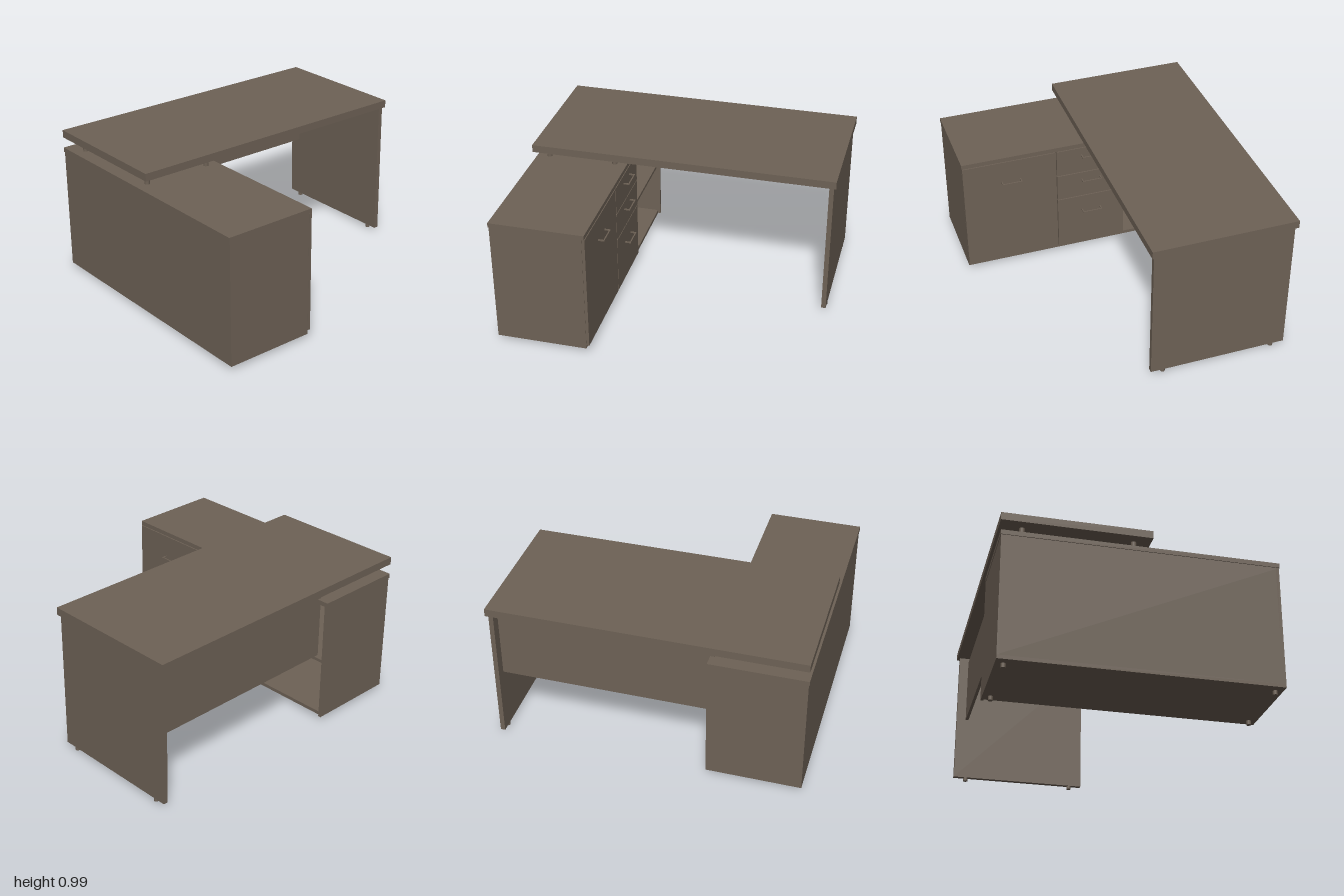
import * as THREE from 'three';

const wood = new THREE.MeshStandardMaterial({ color: 0x6e6256 });
wood.name = 'brown laminate';

// Box given by its extents on each axis
function panel(parent, name, [x0, x1], [y0, y1], [z0, z1]) {
  const mesh = new THREE.Mesh(new THREE.BoxGeometry(x1 - x0, y1 - y0, z1 - z0), wood);
  mesh.position.set((x0 + x1) / 2, (y0 + y1) / 2, (z0 + z1) / 2);
  mesh.name = name;
  parent.add(mesh);
}

// Upright round peg
function peg(parent, name, x, z, r, y0, y1) {
  const mesh = new THREE.Mesh(new THREE.CylinderGeometry(r, r, y1 - y0, 20), wood);
  mesh.position.set(x, (y0 + y1) / 2, z);
  mesh.name = name;
  parent.add(mesh);
}

// Bar handle standing off a +x facing front
function handle(parent, y, z) {
  const g = new THREE.Group();
  g.name = 'handle';
  panel(g, 'handleBar', [-0.353, -0.345], [y - 0.004, y + 0.004], [z - 0.068, z + 0.068]);
  for (const s of [-1, 1]) {
    const p = z + s * 0.064;
    panel(g, 'handlePost', [-0.386, -0.349], [y - 0.004, y + 0.004], [p - 0.004, p + 0.004]);
  }
  parent.add(g);
}

function createCabinet() {
  const g = new THREE.Group();
  g.name = 'cabinet';
  const body = [-0.995, -0.405];
  const inner = [0.05, 0.835];

  // Carcass
  panel(g, 'cabinetTop', [-1, -0.388], [0.835, 0.865], [-0.868, 0.868]);
  panel(g, 'cabinetBottom', body, [0.027, 0.05], [-0.865, 0.865]);
  panel(g, 'cabinetOuterSide', [-0.995, -0.977], inner, [-0.865, 0.865]);
  panel(g, 'cabinetFrontEnd', body, inner, [0.845, 0.865]);
  panel(g, 'cabinetBackEnd', [-0.995, -0.388], [0.027, 0.835], [-0.865, -0.847]);
  for (const z of [0.225, -0.245]) {
    panel(g, 'divider', [-0.977, -0.405], inner, [z - 0.01, z + 0.01]);
  }
  panel(g, 'shelf', [-0.977, -0.408], [0.415, 0.435], [-0.847, -0.255]);

  // Door and drawers
  const front = [-0.404, -0.385];
  panel(g, 'door', front, [0.052, 0.832], [0.23, 0.865]);
  handle(g, 0.68, 0.542);
  for (const [y0, y1, hy] of [[0.64, 0.832, 0.775], [0.446, 0.634, 0.58], [0.052, 0.44, 0.325]]) {
    panel(g, 'drawerFront', front, [y0, y1], [-0.25, 0.223]);
    handle(g, hy, -0.014);
  }

  // Feet, and the posts that carry the desk top
  for (const x of [-0.932, -0.46]) {
    for (const z of [-0.815, 0.815]) peg(g, 'cabinetFoot', x, z, 0.015, 0, 0.03);
  }
  for (const x of [-0.918, -0.47]) {
    for (const z of [-0.73, -0.04]) peg(g, 'deskPost', x, z, 0.017, 0.86, 0.94);
  }
  return g;
}

function createDesk() {
  const g = new THREE.Group();
  g.name = 'desk';
  panel(g, 'deskTop', [-0.998, 1], [0.935, 0.985], [-0.87, 0.065]);
  panel(g, 'sideLeg', [0.955, 0.985], [0.022, 0.935], [-0.853, 0.05]);
  panel(g, 'modestyPanel', [-0.415, 0.955], [0.455, 0.905], [-0.79, -0.77]);
  for (const z of [-0.77, -0.033]) peg(g, 'legFoot', 0.97, z, 0.015, 0, 0.025);
  return g;
}

export function createModel() {
  const model = new THREE.Group();
  model.name = 'cornerDesk';
  model.add(createCabinet(), createDesk());
  return model;
}
